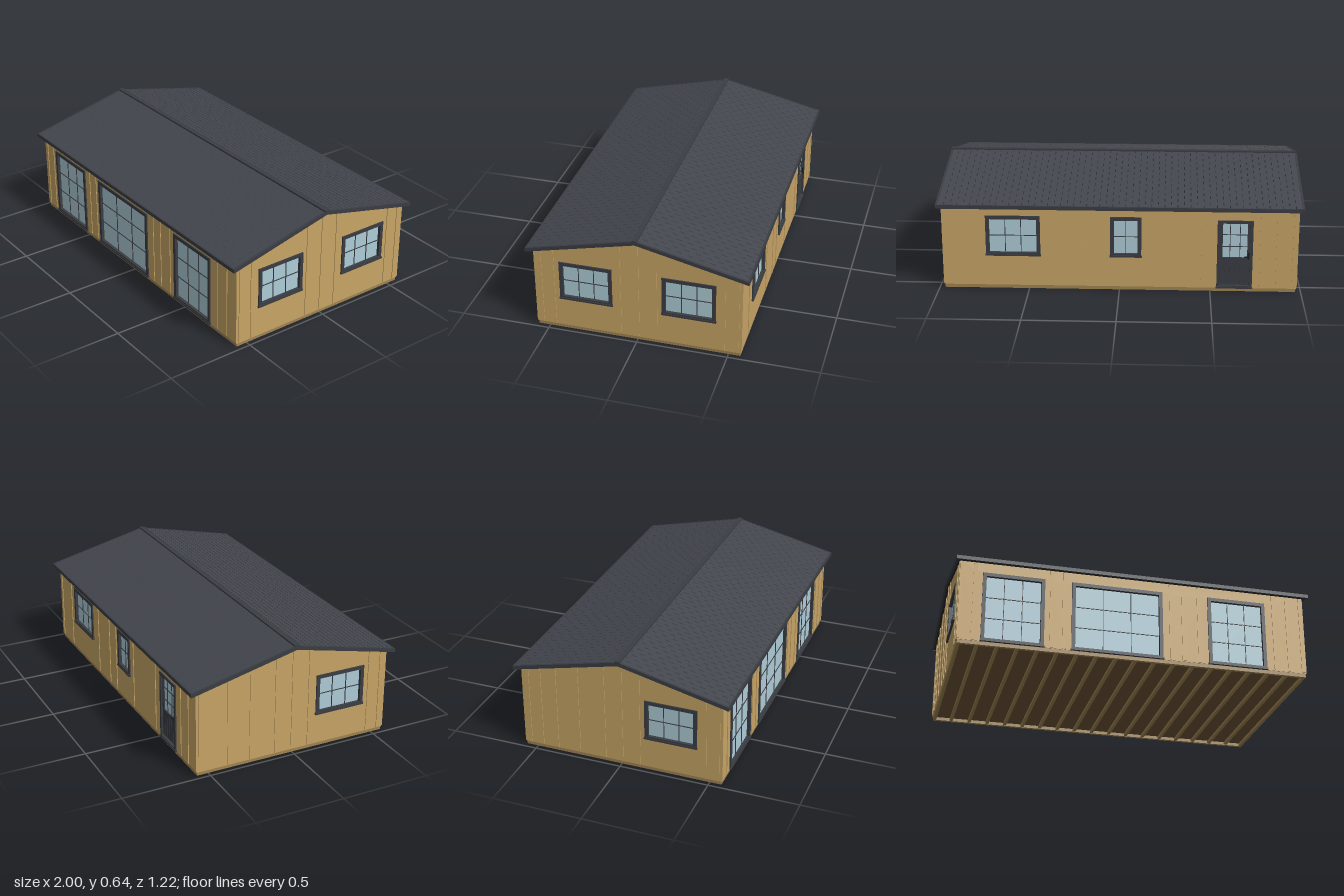
import * as THREE from 'three';
import { mergeGeometries } from 'three/addons/utils/BufferGeometryUtils.js';

const mat = (color) => new THREE.MeshStandardMaterial({ color });
const wood = mat(0xc8a566), baseWood = mat(0xa08452), deckWood = mat(0x6b5434);
const dark = mat(0x3a3d43), shingle = mat(0x43464d), underlay = mat(0x25272b);
const glassMat = mat(0xafcdd8), metal = mat(0x1c1d20);

const HX = 0.975, HZ = 0.568;           // outer wall faces
const T = 0.025, BASE = 0.025;          // wall thickness, floor height
const RIDGE = 0.637, EAVE_Z = 0.605, EAVE_Y = 0.496;
const ANGLE = Math.atan2(RIDGE - EAVE_Y, EAVE_Z);
const SLOPE = Math.hypot(RIDGE - EAVE_Y, EAVE_Z);
const wallTop = (z) => RIDGE - 0.018 - Math.abs(z) * Math.tan(ANGLE);

const boxGeo = (x0, x1, y0, y1, z0, z1) =>
  new THREE.BoxGeometry(x1 - x0, y1 - y0, z1 - z0)
    .translate((x0 + x1) / 2, (y0 + y1) / 2, (z0 + z1) / 2);

function add(parent, name, geos, material) {
  const mesh = new THREE.Mesh(Array.isArray(geos) ? mergeGeometries(geos) : geos, material);
  mesh.name = name;
  parent.add(mesh);
  return mesh;
}

// Frame, sill, pane and glazing bars; the wall face is z = 0, outward is +z
function addWindow(parent, { x0, x1, y0, y1, cols, rows, door }) {
  const g = new THREE.Group();
  g.name = door ? 'door' : 'window';
  parent.add(g);
  const f = door ? 0.016 : 0.02, out = 0.007;
  add(g, 'frame', [
    boxGeo(x0, x0 + f, y0, y1, -T, out), boxGeo(x1 - f, x1, y0, y1, -T, out),
    boxGeo(x0 + f, x1 - f, y1 - f, y1, -T, out), boxGeo(x0 + f, x1 - f, y0, y0 + f * 0.7, -T, out),
    boxGeo(x0 - 0.003, x1 + 0.003, y0 - 0.005, y0 + 0.005, -0.005, 0.011),
  ], dark);
  const gx0 = x0 + f, gx1 = x1 - f, gy1 = y1 - f;
  let gy0 = y0 + f * 0.7;
  if (door) {
    // Planked lower half with a handle
    const mid = y0 + (y1 - y0) * 0.43, n = 6, w = (gx1 - gx0) / n;
    const planks = [boxGeo(gx0, gx1, gy0, mid, -0.016, -0.008)];
    for (let i = 0; i < n; i++)
      planks.push(boxGeo(gx0 + i * w + 0.002, gx0 + (i + 1) * w - 0.002, gy0 + 0.01, mid - 0.01, -0.01, -0.003));
    for (const x of [gx0, gx1 - 0.014]) planks.push(boxGeo(x, x + 0.014, mid, gy1, -0.016, -0.003));
    planks.push(boxGeo(gx0, gx1, mid - 0.01, mid + 0.006, -0.016, -0.003));
    add(g, 'doorLeaf', planks, dark);
    add(g, 'doorHandle', [
      boxGeo(gx1 - 0.011, gx1 - 0.003, 0.19, 0.23, -0.004, 0.004),
      boxGeo(gx1 - 0.03, gx1 - 0.003, 0.203, 0.21, 0.004, 0.01),
    ], metal);
    gy0 = mid;
  }
  add(g, 'glass', boxGeo(gx0, gx1, gy0, gy1, -0.016, -0.01), glassMat);
  const bars = [], b = 0.0018;
  for (let i = 1; i < cols; i++) {
    const x = gx0 + (gx1 - gx0) * i / cols;
    bars.push(boxGeo(x - b, x + b, gy0, gy1, -0.018, -0.006));
  }
  for (let j = 1; j < rows; j++) {
    const y = gy0 + (gy1 - gy0) * j / rows;
    bars.push(boxGeo(gx0, gx1, y - b, y + b, -0.018, -0.006));
  }
  add(g, 'glazingBars', bars, dark);
}

// One wall with its openings and board seams
function addWall(parent, name, half, topAt, outline, openings, seams, dist, turn) {
  const g = new THREE.Group();
  g.name = name;
  g.rotation.y = turn;
  g.position.set(Math.sin(turn) * dist, 0, Math.cos(turn) * dist);
  parent.add(g);
  const shape = new THREE.Shape(outline.map(([x, y]) => new THREE.Vector2(x, y)));
  for (const o of openings) {
    const e = 0.004;
    shape.holes.push(new THREE.Path([[o.x0 + e, o.y0 + e], [o.x0 + e, o.y1 - e], [o.x1 - e, o.y1 - e], [o.x1 - e, o.y0 + e]]
      .map(([x, y]) => new THREE.Vector2(x, y))));
  }
  add(g, 'wallPanel', new THREE.ExtrudeGeometry(shape, { depth: T, bevelEnabled: false }).translate(0, 0, -T), wood);
  const w = 0.011;
  const free = seams.filter((x) => openings.every((o) => x + w < o.x0 || x - w > o.x1));
  const strips = free.map((x) => boxGeo(x - w, x + w, BASE, topAt(x) - 0.004, -0.002, 0.004));
  for (const s of [-1, 1]) strips.push(boxGeo(s * half - 0.013, s * half + 0.013, BASE, topAt(half) - 0.004, -0.002, 0.004));
  add(g, 'battens', strips, wood);
  openings.forEach((o) => addWindow(g, o));
}

export function createModel() {
  const model = new THREE.Group();
  model.name = 'cabin';

  // Floor: perimeter beams, deck and joists
  const floor = new THREE.Group();
  floor.name = 'floor';
  model.add(floor);
  const bx = HX - 0.004, bz = HZ - 0.003;
  add(floor, 'deck', boxGeo(-bx + 0.01, bx - 0.01, 0.018, BASE, -bz + 0.01, bz - 0.01), deckWood);
  const beams = [];
  for (const s of [-1, 1]) {
    beams.push(boxGeo(-bx, bx, 0, BASE, s * (bz - 0.009) - 0.009, s * (bz - 0.009) + 0.009));
    beams.push(boxGeo(s * (bx - 0.009) - 0.009, s * (bx - 0.009) + 0.009, 0, BASE, -bz, bz));
  }
  add(floor, 'perimeterBeams', beams, baseWood);
  const joists = [];
  for (let i = 1; i < 18; i++) {
    const x = -bx + 2 * bx * i / 18;
    joists.push(boxGeo(x - 0.009, x + 0.009, 0.002, 0.02, -bz + 0.01, bz - 0.01));
  }
  add(floor, 'joists', joists, baseWood);

  // Walls
  const eave = wallTop(HZ), flat = () => eave;
  const long = [[-HX, BASE - 0.005], [HX, BASE - 0.005], [HX, eave], [-HX, eave]];
  const gz = HZ - T;
  const gable = [[-gz, BASE - 0.005], [gz, BASE - 0.005], [gz, wallTop(gz)], [0, wallTop(0)], [-gz, wallTop(gz)]];
  const win = (x0, x1, y0, y1, cols, rows, door) => ({ x0, x1, y0, y1, cols, rows, door });
  addWall(model, 'frontWall', HX - 0.013, flat, long, [
    win(-0.85, -0.51, 0.025, 0.427, 3, 3), win(-0.36, 0.15, 0.025, 0.427, 3, 3), win(0.41, 0.745, 0.025, 0.427, 3, 3),
  ], [-0.89, -0.47, -0.4, 0.2, 0.27, 0.36, 0.8, 0.88], HZ, 0);
  addWall(model, 'backWall', HX - 0.013, flat, long, [
    win(-0.735, -0.435, 0.2, 0.427, 3, 2), win(-0.05, 0.12, 0.2, 0.427, 2, 2), win(0.535, 0.73, 0.025, 0.415, 3, 3, true),
  ], [-0.8, -0.36, -0.19, -0.09, 0.16, 0.46, 0.78, 0.87], HZ, Math.PI);
  const sideSeams = [-0.47, -0.1, 0, 0.1, 0.47];
  addWall(model, 'leftWall', gz, wallTop, gable, [
    win(-0.43, -0.137, 0.2, 0.427, 3, 2), win(0.137, 0.43, 0.2, 0.427, 3, 2),
  ], sideSeams, HX, Math.PI / 2);
  addWall(model, 'rightWall', gz, wallTop, gable, [win(0.137, 0.43, 0.2, 0.427, 3, 2)],
    [-0.38, -0.25, ...sideSeams], HX, -Math.PI / 2);

  // Roof: two mirrored slopes with staggered shingles
  const roof = new THREE.Group();
  roof.name = 'roof';
  model.add(roof);
  const ROWS = 20, TILE = 0.0707, GAP = 0.002, EDGE = 0.99;
  for (const turn of [0, Math.PI]) {
    const side = new THREE.Group();
    side.name = turn ? 'backSlope' : 'frontSlope';
    side.rotation.y = turn;
    roof.add(side);
    const slope = new THREE.Group();
    slope.name = 'slope';
    slope.position.y = RIDGE;
    slope.rotation.x = ANGLE;
    side.add(slope);
    add(slope, 'roofBoard', boxGeo(-EDGE, EDGE, -0.018, -0.004, 0, SLOPE), underlay);
    const tiles = [], rowLen = SLOPE / ROWS;
    for (let r = 0; r < ROWS; r++) {
      for (let x = -EDGE - (r % 2) * TILE / 2; x < EDGE - 0.001; x += TILE) {
        const a = Math.max(x + GAP, -EDGE), b = Math.min(x + TILE - GAP, EDGE);
        if (b - a < 0.004) continue;
        tiles.push(boxGeo(a, b, -0.004, 0, 0, rowLen).rotateX(-0.03).rotateX(0.08)
          .translate(0, 0.001, r * rowLen));
      }
    }
    add(slope, 'shingles', tiles, shingle);
    add(slope, 'bargeBoards', [-1, 1].map((s) =>
      boxGeo(s * 0.994 - 0.006, s * 0.994 + 0.006, -0.02, 0.001, 0, SLOPE)), dark);
    add(side, 'eaveFascia', boxGeo(-1, 1, 0.476, 0.497, 0.599, 0.609), dark);
  }
  add(roof, 'ridgeCap', boxGeo(-1, 1, 0.622, 0.643, -0.014, 0.014), dark);

  return model;
}
